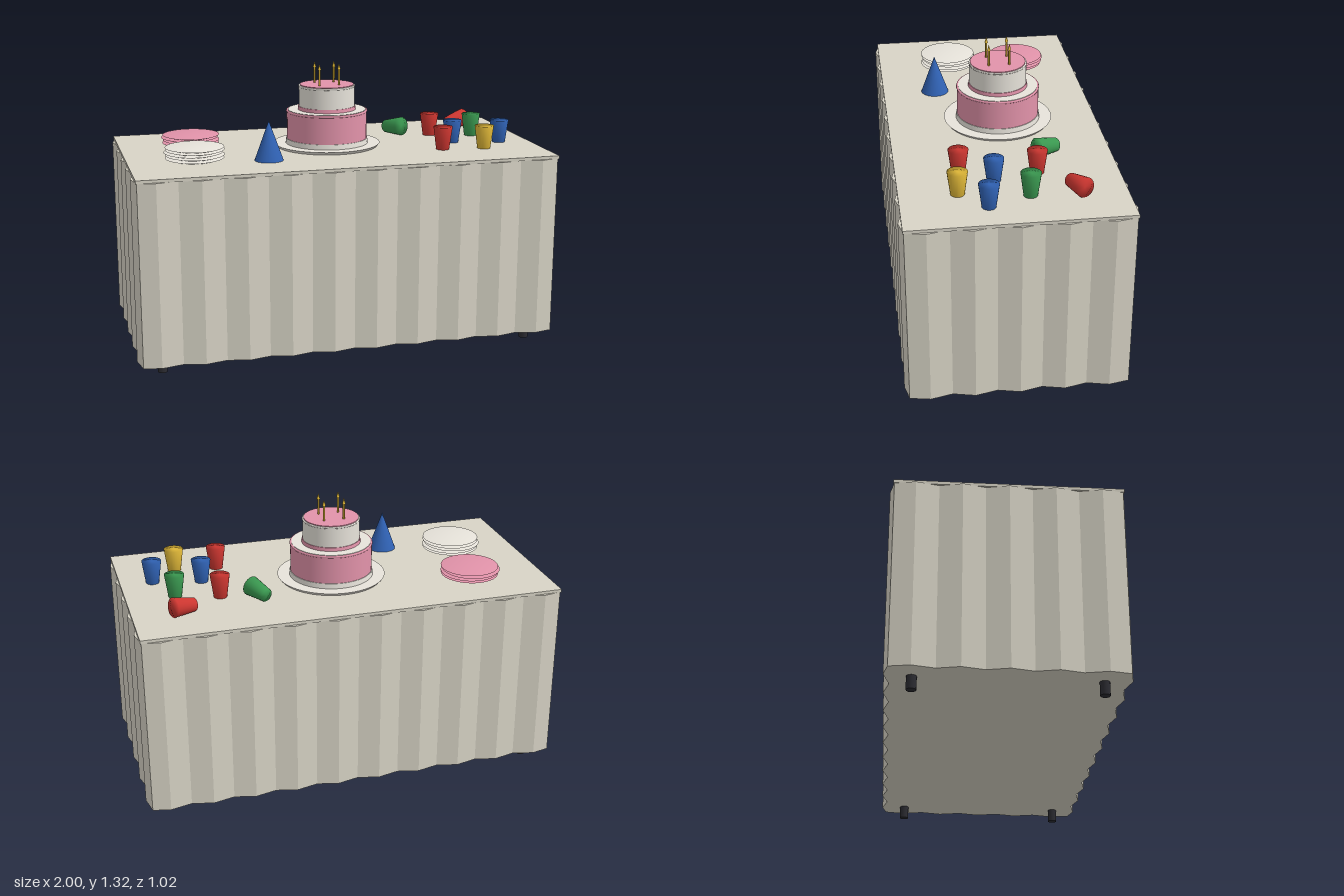
import * as THREE from 'three';
import { mergeVertices } from 'three/addons/utils/BufferGeometryUtils.js';

const mat = (name, color) => {
  const m = new THREE.MeshStandardMaterial({ color });
  m.name = name;
  return m;
};

// Share vertices across edges so the normals are soft all round
function soften(geo) {
  geo.deleteAttribute('normal');
  geo.deleteAttribute('uv');
  const g = mergeVertices(geo, 1e-4);
  g.computeVertexNormals();
  return g;
}

export function createModel() {
  const model = new THREE.Group();
  model.name = 'partyTable';
  const cloth = mat('cloth cream', 0xd8d4c6);
  const white = mat('icing white', 0xeeeae1);
  const pink = mat('icing pink', 0xe293aa);
  const red = mat('cup red', 0xcc3630);
  const blue = mat('cup blue', 0x3062b4);
  const green = mat('cup green', 0x3a9850);
  const yellow = mat('cup yellow', 0xdfb738);
  const gold = mat('candle gold', 0xc9a42e);
  const dark = mat('leg charcoal', 0x2c2c32);

  function add(name, geo, material, x = 0, y = 0, z = 0, parent = model) {
    const m = new THREE.Mesh(geo, material);
    m.name = name;
    m.position.set(x, y, z);
    parent.add(m);
    return m;
  }
  // Upright cylinder given by its bottom and top heights
  const drum = (name, rTop, rBottom, y0, y1, material, x, z, parent, sides = 40) =>
    add(name, new THREE.CylinderGeometry(rTop, rBottom, y1 - y0, sides), material, x, (y0 + y1) / 2, z, parent);

  // Pleated tablecloth: zigzag folds around a rectangle
  const W = 0.988, D = 0.498, A = 0.012;
  const fold = (i) => (i % 2 ? A : -A);
  const pts = [];
  for (let i = 0; i < 20; i++) pts.push([-1 + i * 0.1, -D - fold(i)]);
  for (let i = 0; i < 10; i++) pts.push([W + fold(i), -0.5 + i * 0.1]);
  for (let i = 0; i < 20; i++) pts.push([1 - i * 0.1, D + fold(i)]);
  for (let i = 0; i < 10; i++) pts.push([-W - fold(i), 0.5 - i * 0.1]);
  const outline = new THREE.Shape(pts.map(([x, z]) => new THREE.Vector2(
    THREE.MathUtils.clamp(x, -1, 1), z)));
  // Pull the four corners in to the fold troughs
  for (const p of outline.curves) {
    for (const v of [p.v1, p.v2]) {
      if (Math.abs(v.x) > 0.95 && Math.abs(v.y) > 0.45) v.set(Math.sign(v.x) * (W - A / 2), Math.sign(v.y) * (D - A / 2));
    }
  }
  const skirt = new THREE.ExtrudeGeometry(outline, { depth: 0.85, bevelEnabled: false });
  skirt.rotateX(-Math.PI / 2);
  add('tablecloth', skirt, cloth, 0, 0.06, 0);
  add('tableTop', new THREE.BoxGeometry(1.974, 0.015, 0.992), cloth, 0, 0.9165, 0);

  // Legs
  for (const x of [-0.885, 0.885])
    for (const z of [-0.395, 0.395]) drum('leg', 0.022, 0.022, 0, 0.07, dark, x, z, model, 12);

  // Two-tier cake on its board
  const cake = new THREE.Group();
  cake.name = 'cake';
  cake.position.set(0, 0, -0.03);
  model.add(cake);
  const top = 0.924;
  drum('cakeBoard', 0.257, 0.245, top, 0.938, white, 0, 0, cake, 48);
  drum('lowerTrim', 0.197, 0.2, 0.938, 0.962, white, 0, 0, cake);
  drum('lowerTier', 0.194, 0.194, 0.96, 1.095, pink, 0, 0, cake);
  const rim = (name, r, t, y, m) => {
    const g = new THREE.TorusGeometry(r, t, 8, 40);
    g.rotateX(Math.PI / 2);
    add(name, g, m, 0, y, 0, cake);
  };
  rim('lowerRim', 0.191, 0.006, 1.094, pink);
  drum('lowerIcing', 0.188, 0.188, 1.092, 1.101, white, 0, 0, cake);
  drum('upperTrim', 0.138, 0.14, 1.1, 1.118, pink, 0, 0, cake);
  drum('upperTier', 0.135, 0.135, 1.117, 1.218, white, 0, 0, cake);
  rim('upperRim', 0.132, 0.005, 1.214, white);
  drum('upperIcing', 0.13, 0.13, 1.215, 1.222, pink, 0, 0, cake);

  // Candles
  for (const x of [-0.048, 0.048])
    for (const z of [-0.048, 0.048]) {
      drum('candle', 0.005, 0.005, 1.22, 1.3, gold, x, z, cake, 10);
      drum('flame', 0.0005, 0.008, 1.298, 1.324, yellow, x, z, cake, 10);
    }

  // Stacked plates, each shifted slightly
  function plates(name, x, z, count, material) {
    const stack = new THREE.Group();
    stack.name = name;
    stack.position.set(x, top, z);
    model.add(stack);
    const geo = soften(new THREE.CylinderGeometry(0.137, 0.105, 0.01, 32));
    for (let i = 0; i < count; i++)
      add('plate', geo, material, Math.sin(i * 2.3) * 0.004, 0.006 + i * 0.0125, Math.cos(i * 1.7) * 0.004, stack);
  }
  plates('whitePlates', -0.675, 0.14, 5, white);
  plates('pinkPlates', -0.64, -0.21, 4, pink);

  // Party hat
  add('partyHat', new THREE.ConeGeometry(0.067, 0.186, 28), blue, -0.345, top + 0.093, 0.24);

  // Cups, standing
  const cup = soften(new THREE.CylinderGeometry(0.046, 0.031, 0.11, 24));
  const standing = [
    [0.56, -0.13, red], [0.76, -0.07, green], [0.61, 0.07, blue],
    [0.835, 0.12, blue], [0.51, 0.215, red], [0.71, 0.24, yellow],
  ];
  for (const [x, z, m] of standing) add('cup', cup, m, x, top + 0.055, z);

  // Cups, tipped over with the wide end along (dx, dz)
  const up = new THREE.Vector3(0, 1, 0);
  for (const [x, z, dx, dz, m] of [[0.395, -0.2, 0.47, 0.88, green], [0.755, -0.275, 0.92, -0.39, red]]) {
    const c = add('tippedCup', cup, m, x, top + 0.039, z);
    c.quaternion.setFromUnitVectors(up, new THREE.Vector3(dx, 0.136, dz).normalize());
  }
  return model;
}
